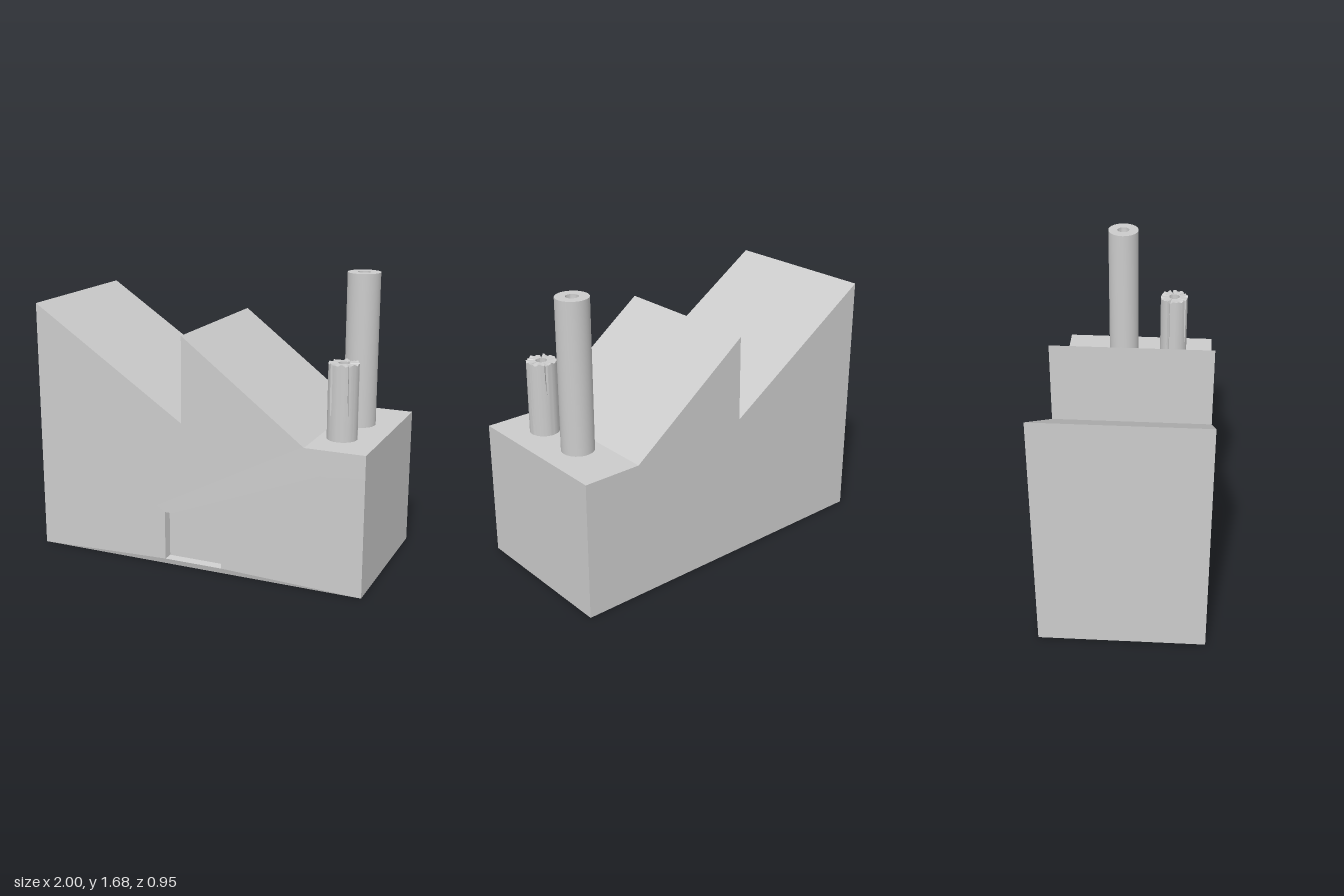
import * as THREE from 'three';
import { toCreasedNormals } from 'three/addons/utils/BufferGeometryUtils.js';

const material = new THREE.MeshStandardMaterial({ color: 0xcccccc });

function part(name, geometry) {
  const mesh = new THREE.Mesh(geometry, material);
  mesh.name = name;
  return mesh;
}

// Skin a row of rectangles [x0, x1, y0, y1, z], running back to front, with capped ends
function rectangleLoft(rects) {
  const positions = [];
  const index = [];
  for (const [x0, x1, y0, y1, z] of rects) {
    positions.push(x0, y0, z, x1, y0, z, x1, y1, z, x0, y1, z);
  }
  for (let r = 0; r < rects.length - 1; r++) {
    for (let i = 0; i < 4; i++) {
      const a = r * 4 + i;
      const b = r * 4 + (i + 1) % 4;
      index.push(a, b, b + 4, a, b + 4, a + 4);
    }
  }
  const e = (rects.length - 1) * 4;
  index.push(0, 2, 1, 0, 3, 2, e, e + 1, e + 2, e, e + 2, e + 3);
  const geometry = new THREE.BufferGeometry();
  geometry.setAttribute('position', new THREE.Float32BufferAttribute(positions, 3));
  geometry.setIndex(index);
  return toCreasedNormals(geometry, 0.05);
}

function lathe(profile, segments) {
  return new THREE.LatheGeometry(profile.map(([r, y]) => new THREE.Vector2(r, y)), segments);
}

// Chimney with chipped rim and vertical cracks
function brokenChimney() {
  const R = 0.085;
  const profile = [
    [R, 0.8], [R, 0.93], [R, 1.05], [R, 1.15], [R, 1.21], [R, 1.235],
    [0.062, 1.235], [0.032, 1.235], [0.032, 1.2], [0, 1.2],
  ];
  const segments = 64;
  const geometry = lathe(profile, segments);
  const p = geometry.attributes.position;
  const cracks = { 7: 2, 18: 1, 29: 3, 44: 1, 58: 2 }; // segment: first cracked ring
  for (let s = 0; s <= segments; s++) {
    for (let k = 1; k <= 6; k++) {
      const v = s * profile.length + k;
      // Narrow grooves that run up to the rim
      if (cracks[s] <= k && k < 6) {
        p.setX(v, p.getX(v) * 0.86);
        p.setZ(v, p.getZ(v) * 0.86);
      }
      // Uneven rim
      if (k === 5) {
        const a = (s % segments) * Math.PI * 2 / segments;
        p.setY(v, p.getY(v) + 0.007 * Math.sin(a * 3 + 1) * Math.sin(a * 11));
      }
      if (cracks[s] && k >= 5) p.setY(v, p.getY(v) - 0.012);
    }
  }
  return toCreasedNormals(geometry, 0.6);
}

export function createModel() {
  const model = new THREE.Group();
  model.name = 'factory';

  // Main block; its front swells slightly toward the recessed doorway
  model.add(part('building', rectangleLoft([
    [-1, 1, 0, 0.81, -0.475],
    [-1, 1, 0, 0.81, 0.465],
    [-0.18, 0.175, 0.032, 0.32, 0.475],
    [-0.172, 0.167, 0.04, 0.312, 0.43],
  ])));

  // Sawtooth roof
  const outline = new THREE.Shape([
    [-1, 0.81], [0.655, 0.81], [-0.07, 1.36], [-0.075, 0.86], [-1, 1.475],
  ].map(([x, y]) => new THREE.Vector2(x, y)));
  const roof = new THREE.ExtrudeGeometry(outline, { depth: 0.94, bevelEnabled: false });
  roof.translate(0, 0, -0.475);
  model.add(part('sawtoothRoof', roof));

  // Tall chimney with a rounded flue pit
  const tall = part('tallChimney', toCreasedNormals(lathe([
    [0.093, 0.8], [0.093, 1.685], [0.036, 1.685], [0.036, 1.65],
    [0.031, 1.632], [0.018, 1.619], [0, 1.614],
  ], 32), 0.6));
  tall.position.set(0.786, 0, -0.108);
  model.add(tall);

  // Short broken chimney
  const short = part('brokenChimney', brokenChimney());
  short.position.set(0.786, 0, 0.212);
  model.add(short);

  return model;
}
